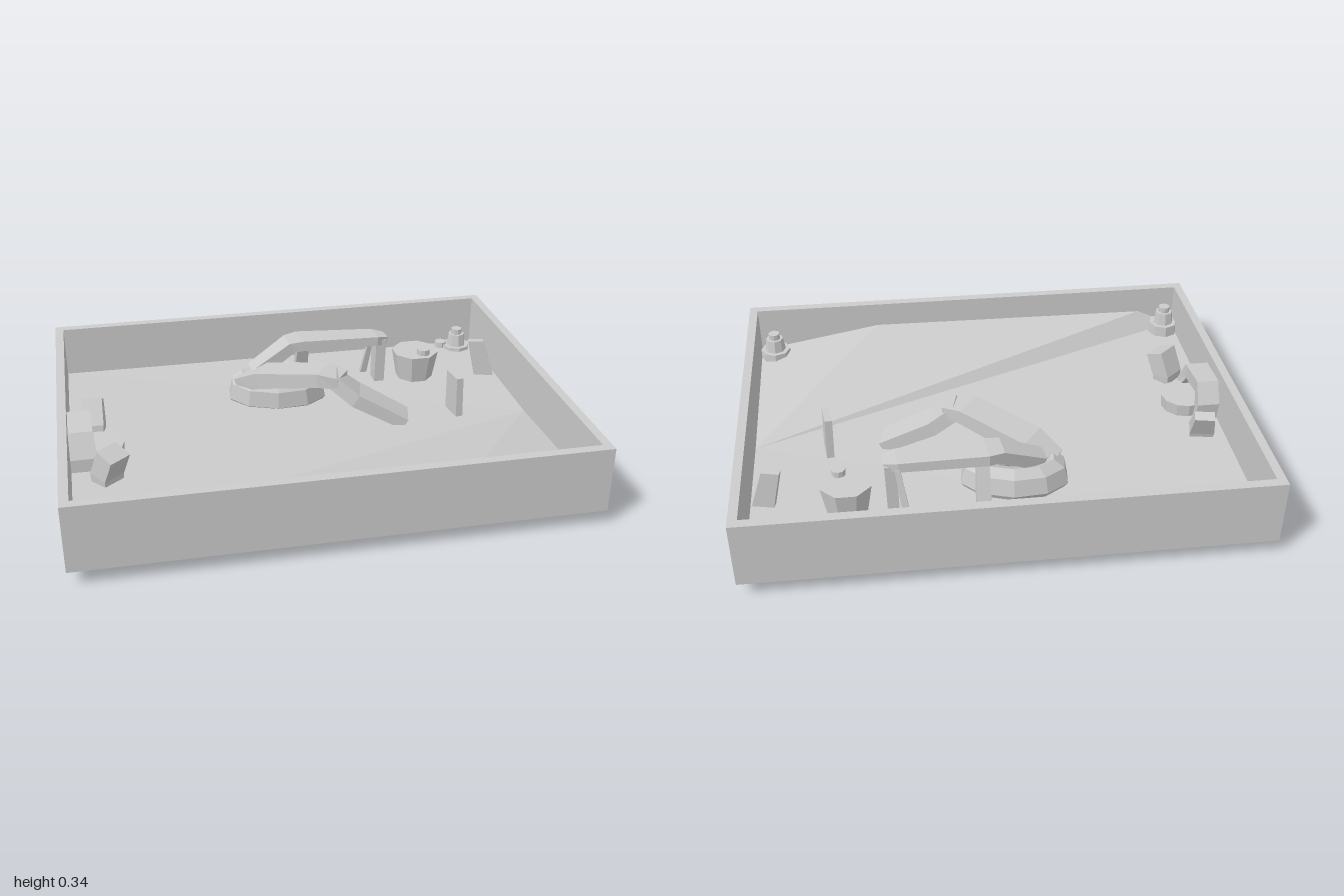
import * as THREE from 'three';

const mat = new THREE.MeshStandardMaterial({ color: 0xcccccc, flatShading: true });

// Swept bar of rectangular section; rows are [x, y, z, width, thickness], side is the width direction
function bar(rows, side) {
  const s = new THREE.Vector3(...side).normalize();
  const pts = rows.map(r => new THREE.Vector3(r[0], r[1], r[2]));
  const pos = [], idx = [];
  rows.forEach((r, i) => {
    const t = pts[Math.min(i + 1, pts.length - 1)].clone().sub(pts[Math.max(i - 1, 0)]).normalize();
    const u = t.clone().cross(s).normalize();
    for (const [a, b] of [[-1, -1], [1, -1], [1, 1], [-1, 1]]) {
      const p = pts[i].clone().addScaledVector(s, a * r[3] / 2).addScaledVector(u, b * r[4] / 2);
      pos.push(p.x, p.y, p.z);
    }
  });
  for (let i = 0; i < rows.length - 1; i++) {
    for (let j = 0; j < 4; j++) {
      const a = i * 4 + j, b = i * 4 + (j + 1) % 4;
      idx.push(a, b, b + 4, a, b + 4, a + 4);
    }
  }
  const e = (rows.length - 1) * 4;
  idx.push(0, 3, 2, 0, 2, 1, e, e + 1, e + 2, e, e + 2, e + 3);
  return fromIndex(pos, idx);
}

function fromIndex(pos, idx) {
  const g = new THREE.BufferGeometry();
  g.setAttribute('position', new THREE.Float32BufferAttribute(pos, 3));
  g.setIndex(idx);
  const flat = g.toNonIndexed();
  flat.computeVertexNormals();
  return flat;
}

export function createModel() {
  const model = new THREE.Group();
  const add = (name, geo, x = 0, y = 0, z = 0, parent = model) => {
    const m = new THREE.Mesh(geo, mat);
    m.name = name;
    m.position.set(x, y, z);
    parent.add(m);
    return m;
  };

  // Tray rim, extruded upward with a rectangular opening
  const rect = (C, w, d) => new C([[-w, -d], [w, -d], [w, d], [-w, d]].map(p => new THREE.Vector2(...p)));
  const rim = rect(THREE.Shape, 1, 0.773);
  rim.holes.push(rect(THREE.Path, 0.965, 0.735));
  const walls = new THREE.ExtrudeGeometry(rim, { depth: 0.265, bevelEnabled: false });
  walls.rotateX(-Math.PI / 2);
  add('trayWalls', walls, 0, 0.067, 0);
  add('trayBase', new THREE.BoxGeometry(1.94, 0.012, 1.48), 0, 0.073, 0);

  // Folded ground: a fan around the middle of the +x edge
  const ground = [
    0.965, 0.1, 0,
    0.965, 0.11, -0.735,
    -0.965, 0.115, -0.735,
    -0.965, 0.14, 0.735,
    -0.8, 0.215, 0.735,
    0.43, 0.225, 0.735,
    0.965, 0.13, 0.735,
  ];
  add('ground', fromIndex(ground, [0, 1, 2, 0, 2, 3, 0, 3, 4, 0, 4, 5, 0, 5, 6]));

  // Central oval faceted ring with a drum inside
  const ringProfile = [[0.1, 0], [0.17, 0], [0.22, 0.06], [0.205, 0.13], [0.16, 0.165], [0.1, 0.15], [0.1, 0]]
    .map(p => new THREE.Vector2(...p));
  const ringGeo = new THREE.LatheGeometry(ringProfile, 10).scale(1, 1, 0.64);
  const ring = add('centralRing', ringGeo, -0.06, 0.062, -0.345);
  ring.rotation.set(0.06, -0.13, 0);
  add('centralDrum', new THREE.CylinderGeometry(0.055, 0.06, 0.16, 10), 0.01, 0.17, -0.32);

  // Bent limbs reaching out of the ring
  add('backLimb', bar([
    [-0.16, 0.22, -0.365, 0.08, 0.06],
    [0.01, 0.315, -0.42, 0.1, 0.05],
    [0.06, 0.32, -0.43, 0.12, 0.045],
    [0.4, 0.31, -0.43, 0.1, 0.04],
    [0.45, 0.3, -0.43, 0.06, 0.04],
  ], [0.1, 0, 1]));
  add('backLimbPost', bar([[0.425, 0.31, -0.43, 0.08, 0.045], [0.42, 0.08, -0.43, 0.07, 0.045]], [0, 0, 1]));
  add('backLimbProp', bar([[0.08, 0.31, -0.46, 0.05, 0.04], [0.08, 0.09, -0.53, 0.06, 0.04]], [1, 0, 0]));
  add('thinProp', bar([[0.4, 0.3, -0.47, 0.02, 0.02], [0.37, 0.09, -0.51, 0.03, 0.02]], [1, 0, 0]));
  add('frontLimbUpper', bar([
    [-0.22, 0.19, -0.34, 0.08, 0.06],
    [-0.13, 0.24, -0.28, 0.13, 0.07],
    [0.1, 0.3, -0.11, 0.13, 0.06],
    [0.17, 0.29, -0.07, 0.1, 0.05],
  ], [-0.6, 0, 0.8]));
  add('frontLimbLower', bar([
    [0.13, 0.3, -0.085, 0.09, 0.06],
    [0.23, 0.22, -0.06, 0.13, 0.06],
    [0.435, 0.11, -0.015, 0.12, 0.05],
  ], [-0.25, 0, 1]));

  // Flared tub with a small knob
  const tub = add('tub', new THREE.CylinderGeometry(0.105, 0.08, 0.14, 8), 0.595, 0.16, -0.43);
  tub.rotation.y = Math.PI / 8;
  add('tubKnob', new THREE.CylinderGeometry(0.028, 0.028, 0.03, 10), 0.62, 0.24, -0.38);

  // Upright slabs
  add('frontSlab', bar([[0.665, 0.065, -0.05, 0.11, 0.03], [0.66, 0.28, -0.05, 0.1, 0.03]], [0.12, 0, 1]));
  add('sideSlab', bar([[0.92, 0.08, -0.375, 0.09, 0.03], [0.87, 0.27, -0.39, 0.07, 0.03]], [1, 0, 0.25]));

  // Round seat with an arched back by the -x wall
  const seat = new THREE.Group();
  seat.name = 'archedSeat';
  model.add(seat);
  add('seatDrum', new THREE.CylinderGeometry(0.1, 0.09, 0.12, 12), -0.85, 0.12, 0.075, seat);
  add('seatArch', bar([
    [-0.915, 0.05, 0.18, 0.12, 0.05],
    [-0.915, 0.18, 0.18, 0.11, 0.05],
    [-0.92, 0.25, 0.14, 0.1, 0.06],
    [-0.92, 0.26, 0, 0.09, 0.06],
    [-0.92, 0.2, -0.03, 0.09, 0.05],
    [-0.915, 0.06, -0.01, 0.1, 0.05],
  ], [1, 0, 0]), 0, 0, 0, seat);
  add('seatKeel', bar([
    [-0.9, 0.08, 0.17, 0.13, 0.05],
    [-0.92, 0.031, 0.12, 0.11, 0.05],
    [-0.92, 0.04, 0.01, 0.11, 0.05],
    [-0.91, 0.08, -0.015, 0.1, 0.05],
  ], [1, 0, 0]), 0, 0, 0, seat);
  add('leaningBlock', bar([
    [-0.83, 0.05, 0.28, 0.08, 0.07],
    [-0.83, 0.16, 0.28, 0.1, 0.08],
    [-0.8, 0.26, 0.31, 0.1, 0.08],
  ], [0.75, 0, -0.65]));
  add('leaningSlab', bar([
    [-0.87, 0.035, -0.125, 0.06, 0.04],
    [-0.87, 0.15, -0.145, 0.1, 0.06],
    [-0.86, 0.245, -0.195, 0.08, 0.04],
  ], [1, 0, 0.2]));

  // Stepped posts in three corners
  for (const [x, y, z] of [[0.88, 0.09, -0.685], [-0.91, 0.15, 0.68], [0.9, 0.13, 0.68]]) {
    const post = new THREE.Group();
    post.name = 'cornerPost';
    post.position.set(x, y, z);
    model.add(post);
    add('foot', new THREE.CylinderGeometry(0.065, 0.068, 0.05, 8), 0, 0.01, 0, post);
    add('collar', new THREE.CylinderGeometry(0.038, 0.046, 0.06, 8), 0, 0.06, 0, post);
    add('cap', new THREE.CylinderGeometry(0.025, 0.025, 0.03, 10), 0, 0.1, 0, post);
  }
  add('pebble', new THREE.CylinderGeometry(0.028, 0.03, 0.04, 8), 0.81, 0.115, -0.705);

  return model;
}
